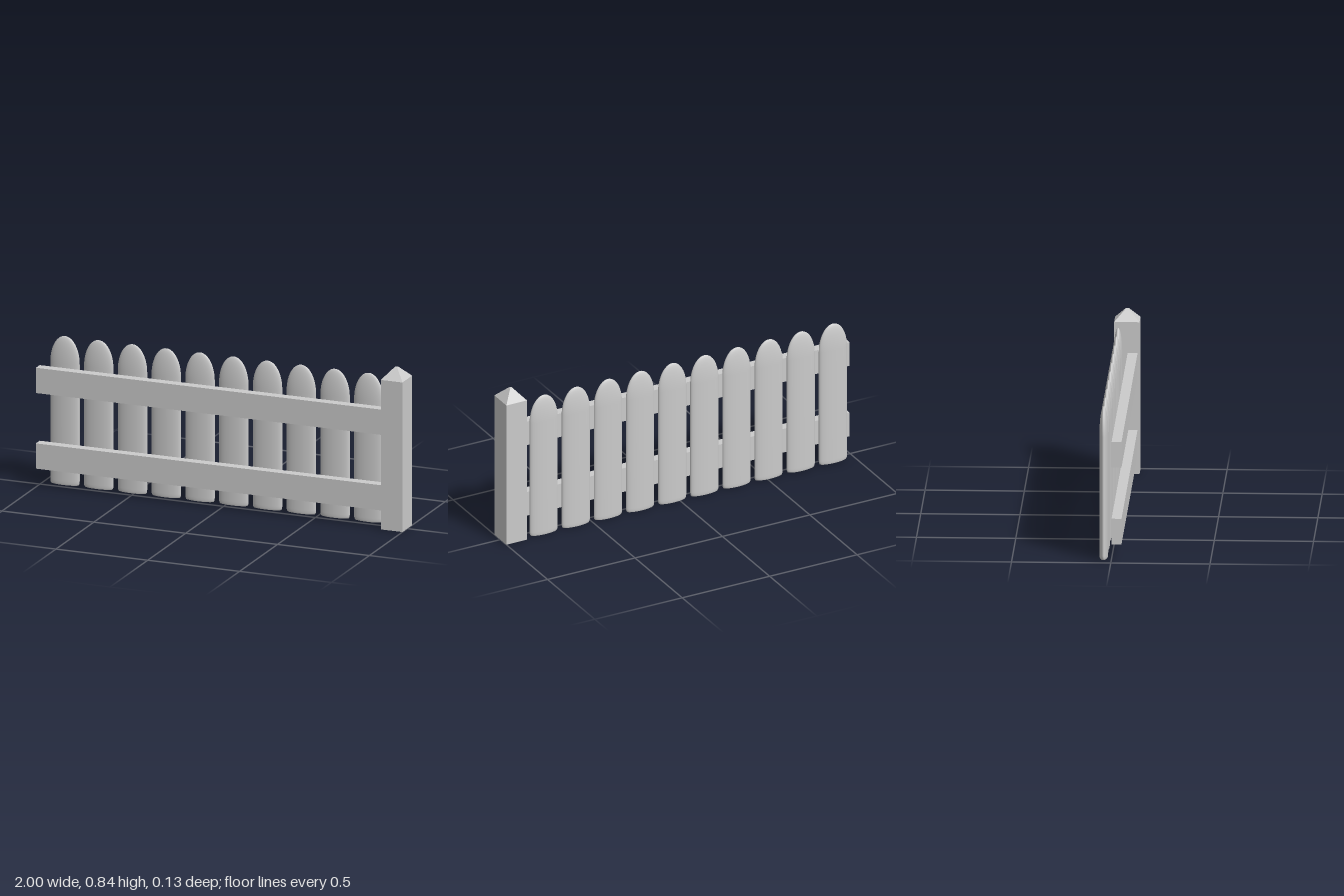
import * as THREE from 'three';

const material = new THREE.MeshStandardMaterial({ color: 0xcccccc });
const flatMaterial = new THREE.MeshStandardMaterial({ color: 0xcccccc, flatShading: true });

function addMesh(parent, name, geometry, mat, x, y, z) {
  const mesh = new THREE.Mesh(geometry, mat);
  mesh.name = name;
  mesh.position.set(x, y, z);
  parent.add(mesh);
  return mesh;
}

// Flattened round board with a domed top and a slightly eased foot
function picketGeometry() {
  const halfWidth = 0.08, halfDepth = 0.022, shoulder = 0.64, top = 0.782;
  const profile = [[0, 0.003], [0.071, 0.003], [0.075, 0.004], [0.079, 0.012], [halfWidth, 0.025], [halfWidth, 0.3]]
    .map(([r, y]) => new THREE.Vector2(r, y));
  const steps = 12;
  for (let i = 0; i <= steps; i++) {
    const a = (i / steps) * Math.PI / 2;
    const r = i === steps ? 0 : halfWidth * Math.cos(a);
    profile.push(new THREE.Vector2(r, shoulder + (top - shoulder) * Math.sin(a)));
  }
  return new THREE.LatheGeometry(profile, 32).scale(1, 1, halfDepth / halfWidth);
}

export function createModel() {
  const fence = new THREE.Group();
  fence.name = 'fence';

  // Row of pickets behind the rails
  const pickets = new THREE.Group();
  pickets.name = 'pickets';
  fence.add(pickets);
  const picket = picketGeometry();
  for (let i = 0; i < 10; i++) {
    addMesh(pickets, `picket${i + 1}`, picket, material, -0.88 + i * 0.1838, 0, -0.04);
  }

  // Two horizontal rails running into the post
  const rail = new THREE.BoxGeometry(1.9, 0.133, 0.05);
  addMesh(fence, 'lowerRail', rail, flatMaterial, -0.05, 0.163, 0.029);
  addMesh(fence, 'upperRail', rail, flatMaterial, -0.05, 0.561, 0.029);

  // End post with a blunt pyramid cap
  const post = new THREE.Group();
  post.name = 'post';
  post.position.x = 0.941;
  fence.add(post);
  const width = 0.118, depth = 0.128, bodyHeight = 0.787, capHeight = 0.057;
  addMesh(post, 'postBody', new THREE.BoxGeometry(width, bodyHeight, depth), flatMaterial, 0, bodyHeight / 2, 0);
  const cap = new THREE.CylinderGeometry(0.13 * Math.SQRT1_2, Math.SQRT1_2, capHeight, 4)
    .rotateY(Math.PI / 4)
    .scale(width, 1, depth);
  addMesh(post, 'postCap', cap, flatMaterial, 0, bodyHeight + capHeight / 2, 0);

  return fence;
}
